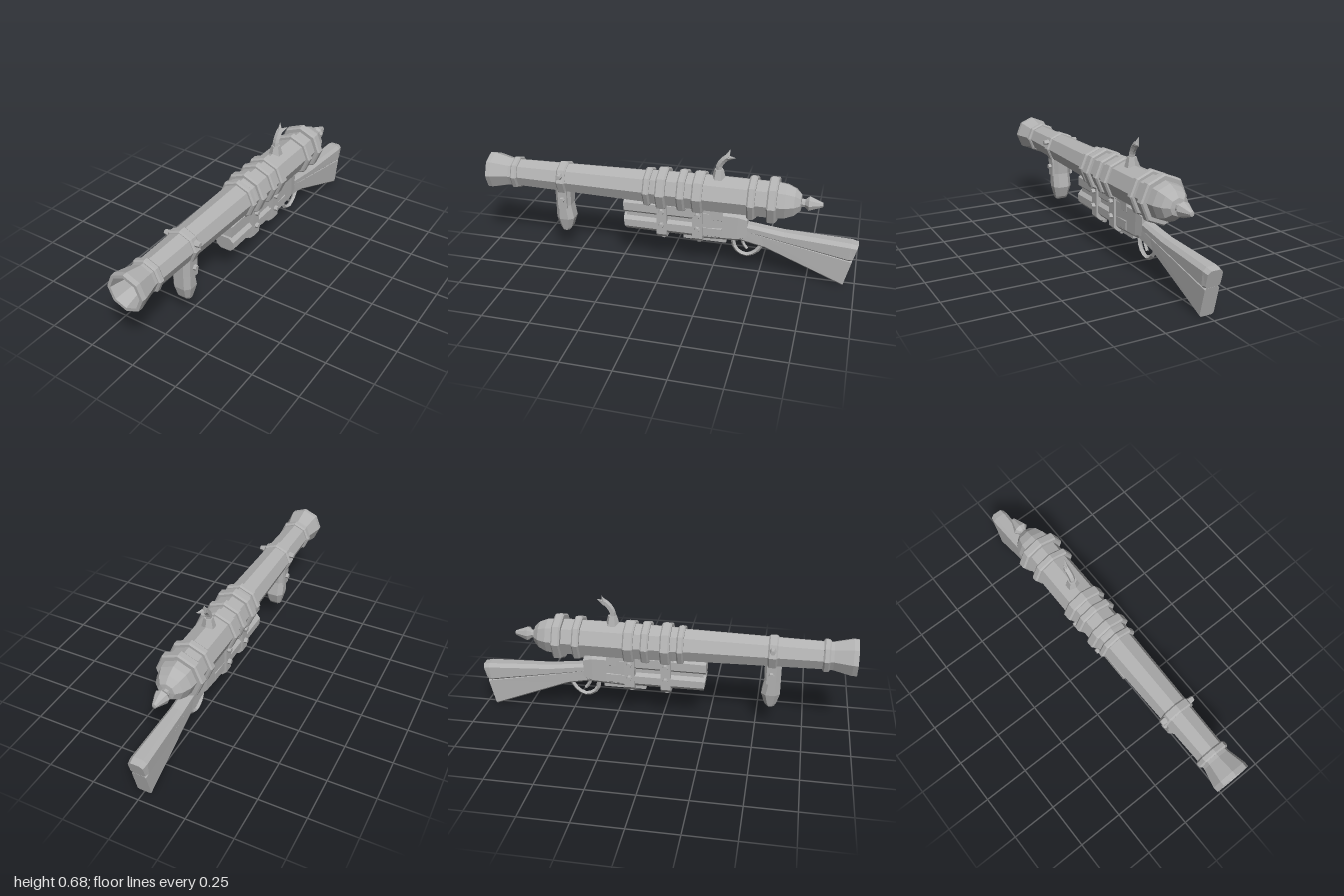
import * as THREE from 'three';

const AXIS = 0.433; // height of the barrel axis

export function createModel() {
  const model = new THREE.Group();
  const metal = new THREE.MeshStandardMaterial({ color: 0xb2b2b2, flatShading: true });
  metal.name = 'plain grey';

  const add = (name, geometry, x = 0, y = 0, z = 0) => {
    const mesh = new THREE.Mesh(geometry, metal);
    mesh.name = name;
    mesh.position.set(x, y, z);
    model.add(mesh);
    return mesh;
  };

  // Octagonal turned part along z; profile is [radius, z] with z rising on the outside
  const turned = (name, profile) => {
    const g = new THREE.LatheGeometry(profile.map(([r, z]) => new THREE.Vector2(r, z)), 8);
    return add(name, g.rotateX(Math.PI / 2), 0, AXIS, 0);
  };

  // Chamfered-box loft; each section is [zLow, low, zHigh, high, halfWidth, chamfer]
  const loft = (sections) => {
    const pos = [];
    const index = [];
    sections.forEach(([zl, lo, zh, hi, w, c]) => {
      const ring = [[w, lo + c], [w, hi - c], [w - c, hi], [c - w, hi],
        [-w, hi - c], [-w, lo + c], [c - w, lo], [w - c, lo]];
      ring.forEach(([x, y]) => pos.push(x, y, zl + (zh - zl) * (y - lo) / (hi - lo)));
    });
    const last = (sections.length - 1) * 8;
    for (let i = 0; i < last; i += 8) {
      for (let j = 0; j < 8; j++) {
        const k = (j + 1) % 8;
        index.push(i + j, i + k, i + 8 + k, i + j, i + 8 + k, i + 8 + j);
      }
    }
    for (let j = 1; j < 7; j++) index.push(0, j + 1, j, last, last + j, last + j + 1);
    const g = new THREE.BufferGeometry();
    g.setAttribute('position', new THREE.Float32BufferAttribute(pos, 3));
    g.setIndex(index);
    g.computeVertexNormals();
    return g;
  };
  // Straight section at one z
  const at = (z, lo, hi, w, c) => [z, lo, z, hi, w, c];

  // Hex bolts on both sides
  const sideBolts = (x, y, z) => {
    for (const s of [-1, 1]) {
      const g = new THREE.CylinderGeometry(0.013, 0.018, 0.03, 6).rotateZ(-s * Math.PI / 2);
      add('bolt', g, s * x, y, z);
    }
  };

  const tube = (name, points, radius, sides, steps) => {
    const curve = new THREE.CatmullRomCurve3(points.map((p) => new THREE.Vector3(...p)));
    return add(name, new THREE.TubeGeometry(curve, steps, radius, sides), 0, 0, 0);
  };

  // Barrel with domed breech, flared muzzle and hollow bore
  turned('barrel', [
    [0, -0.7], [0.045, -0.695], [0.075, -0.665], [0.094, -0.62], [0.1, -0.57], [0.101, -0.2],
    [0.096, 0.06], [0.09, 0.11], [0.076, 0.84], [0.078, 0.88], [0.101, 0.975], [0.1, 1],
    [0.083, 1], [0.049, 0.87], [0, 0.8],
  ]);
  turned('breechKnob', [
    [0, -0.806], [0.012, -0.805], [0.04, -0.735], [0.022, -0.715], [0.022, -0.68],
  ]);

  // Rings and strap bands around the barrel: centre z, length, radius
  for (const [z, len, r] of [
    [0.845, 0.036, 0.09], [0.575, 0.05, 0.092], [0.1, 0.036, 0.108], [0.022, 0.052, 0.119],
    [-0.085, 0.042, 0.118], [-0.172, 0.056, 0.118], [-0.45, 0.04, 0.122], [-0.555, 0.048, 0.128],
  ]) {
    const h = len / 2;
    turned('barrelRing', [
      [0.06, z - h], [r - 0.008, z - h], [r, z - h + 0.008],
      [r, z + h - 0.008], [r - 0.008, z + h], [0.06, z + h],
    ]);
  }

  // Front hand grip, lofted downwards and stood upright; depth runs along -z
  add('frontGrip', loft([
    at(0.125, -0.597, -0.556, 0.034, 0.012), at(0.14, -0.607, -0.545, 0.038, 0.016),
    at(0.2, -0.624, -0.526, 0.053, 0.024), at(0.28, -0.624, -0.54, 0.053, 0.024),
    at(0.4, -0.624, -0.535, 0.056, 0.024),
  ]).rotateX(-Math.PI / 2));
  for (const s of [-1, 1]) {
    add('gripStrap', new THREE.BoxGeometry(0.012, 0.15, 0.05), s * 0.057, 0.347, 0.575);
  }
  sideBolts(0.088, 0.47, 0.575);
  sideBolts(0.063, 0.325, 0.575);

  // Lower rifle: stacked fore-end, receiver and underside plate
  add('upperForeEnd', loft([at(-0.3, 0.284, 0.37, 0.048, 0.016), at(0.235, 0.284, 0.36, 0.048, 0.016)]));
  add('foreEndCore', new THREE.BoxGeometry(0.07, 0.06, 0.5), 0, 0.28, -0.03);
  add('lowerForeEnd', loft([
    at(-0.3, 0.183, 0.272, 0.05, 0.022), [0.224, 0.186, 0.235, 0.272, 0.054, 0.024],
  ]));
  add('receiver', loft([
    at(-0.43, 0.2, 0.325, 0.034, 0.014), at(-0.38, 0.185, 0.342, 0.042, 0.016),
    at(-0.2, 0.18, 0.35, 0.05, 0.018), at(-0.14, 0.19, 0.33, 0.046, 0.018),
  ]));
  add('undersidePlate', new THREE.BoxGeometry(0.04, 0.03, 0.23), 0, 0.175, -0.205);

  // Shoulder stock: lower body and wider comb
  add('stockBody', loft([
    [-0.94, 0, -0.977, 0.15, 0.038, 0.008], [-0.53, 0.158, -0.5, 0.24, 0.031, 0.012],
    at(-0.37, 0.192, 0.28, 0.036, 0.014),
  ]));
  add('stockComb', loft([
    [-0.975, 0.146, -1, 0.238, 0.04, 0.016], [-0.955, 0.142, -0.965, 0.246, 0.045, 0.018],
    at(-0.62, 0.197, 0.262, 0.036, 0.018), at(-0.4, 0.238, 0.288, 0.033, 0.014),
  ]));

  // Straps that tie the rifle to the barrel
  for (const z of [0.022, -0.172]) {
    add('rifleStrap', loft([at(z - 0.027, 0.163, 0.4, 0.061, 0.024), at(z + 0.027, 0.163, 0.4, 0.061, 0.024)]));
    sideBolts(0.063, 0.322, z);
    sideBolts(0.063, 0.243, z);
    add('bottomBolt', new THREE.CylinderGeometry(0.018, 0.013, 0.03, 6), 0, 0.157, z);
  }

  // Trigger and guard
  tube('triggerGuard', [
    [0, 0.2, -0.35], [0, 0.125, -0.368], [0, 0.094, -0.425], [0, 0.118, -0.475], [0, 0.175, -0.515],
  ], 0.012, 4, 9);
  tube('trigger', [[0, 0.2, -0.4], [0, 0.16, -0.408], [0, 0.13, -0.43]], 0.009, 4, 4);

  // Fuse socket, curved fuse and its frayed ends
  add('fuseSocket', new THREE.CylinderGeometry(0.024, 0.042, 0.07, 6), 0, 0.537, -0.268);
  tube('fuse', [
    [0, 0.55, -0.265], [0, 0.595, -0.27], [0, 0.632, -0.295], [0, 0.648, -0.318],
  ], 0.017, 5, 6);
  const frays = [[-0.008, 0.684, -0.322], [0.022, 0.65, -0.356]];
  const root = new THREE.Vector3(0, 0.638, -0.307);
  for (const tip of frays) {
    const end = new THREE.Vector3(...tip);
    const dir = end.clone().sub(root);
    const fray = add('fuseFray', new THREE.ConeGeometry(0.016, dir.length(), 5));
    fray.position.copy(root).lerp(end, 0.5);
    fray.quaternion.setFromUnitVectors(new THREE.Vector3(0, 1, 0), dir.normalize());
  }

  return model;
}
